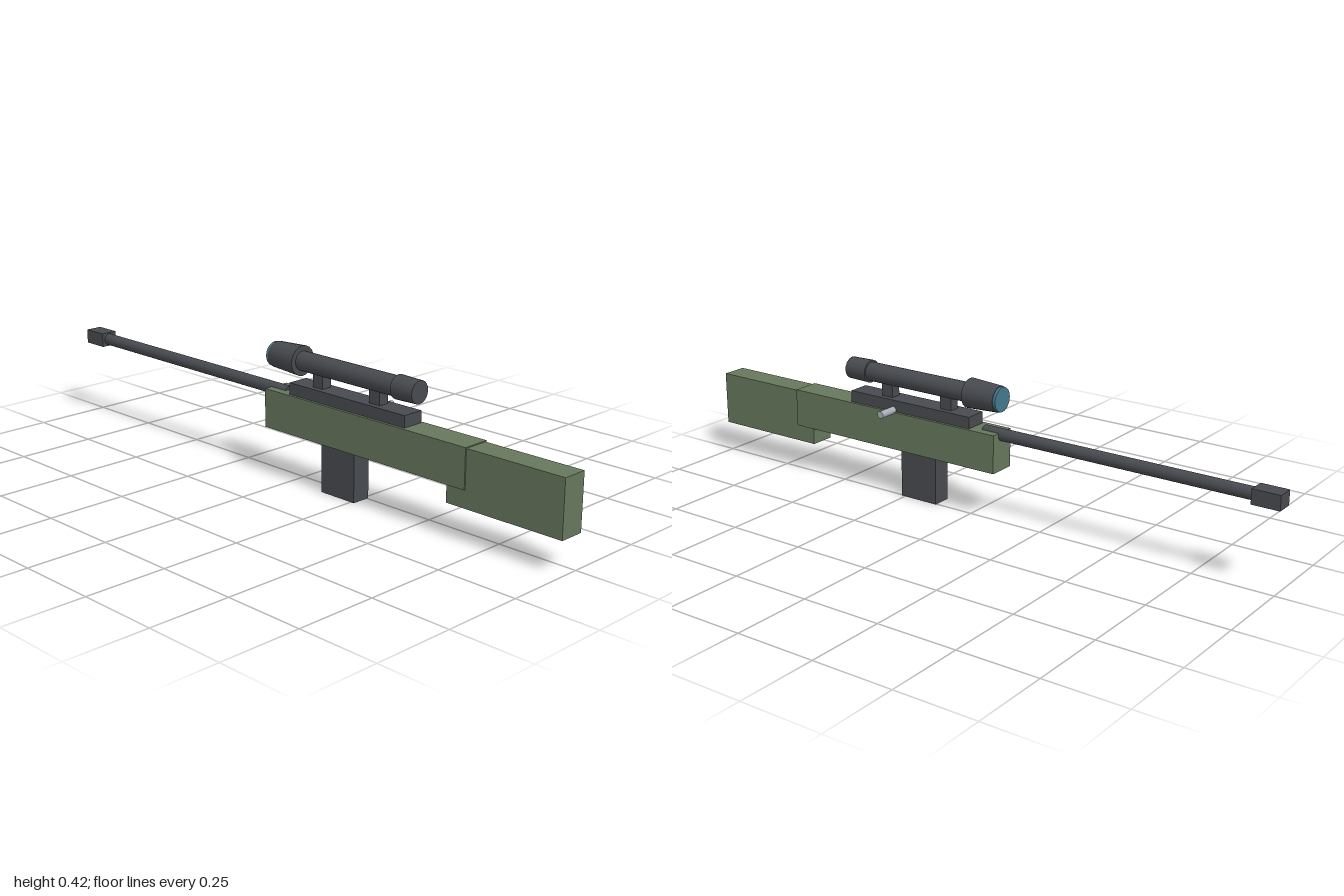
import * as THREE from 'three';

const CX = -0.026; // centre line of the rifle

const material = (name, color) => {
  const m = new THREE.MeshStandardMaterial({ color });
  m.name = name;
  return m;
};

export function createModel() {
  const group = new THREE.Group();
  group.name = 'rifle';
  const green = material('olive green', 0x66775c);
  const dark = material('dark gunmetal', 0x474a4f);
  const silver = material('silver steel', 0xa9adb5);
  const blue = material('lens blue', 0x44798c);

  const add = (name, geometry, mat) => {
    const mesh = new THREE.Mesh(geometry, mat);
    mesh.name = name;
    group.add(mesh);
    return mesh;
  };

  // Box on the centre line, given its width and its y and z ranges
  const block = (name, mat, width, y0, y1, z0, z1) =>
    add(name, new THREE.BoxGeometry(width, y1 - y0, z1 - z0), mat)
      .position.set(CX, (y0 + y1) / 2, (z0 + z1) / 2);

  // Round part along z, with a radius at each end (z0 is the muzzle side)
  const tube = (name, mat, y, z0, z1, r0, r1) => {
    const g = new THREE.CylinderGeometry(r1, r0, z1 - z0, 20).rotateX(Math.PI / 2);
    add(name, g, mat).position.set(CX, y, (z0 + z1) / 2);
  };

  // Stock, body and magazine
  block('stock', green, 0.08, 0.1, 0.27, 0.615, 1);
  block('body', green, 0.088, 0.153, 0.273, -0.095, 0.68);
  block('magazine', dark, 0.061, 0, 0.16, 0.13, 0.262);

  // Receiver rail and scope mounts
  block('receiver', dark, 0.07, 0.26, 0.309, 0, 0.455);
  for (const z of [0.1, 0.325]) block('scopeMount', dark, 0.034, 0.305, 0.355, z - 0.02, z + 0.02);

  // Barrel and muzzle
  tube('barrel', dark, 0.265, -0.93, -0.035, 0.019, 0.019);
  block('muzzle', dark, 0.054, 0.243, 0.288, -1, -0.915);

  // Scope
  tube('scopeTube', dark, 0.373, 0, 0.42, 0.03, 0.03);
  tube('scopeEyepiece', dark, 0.373, 0.4, 0.478, 0.036, 0.034);
  tube('scopeBell', dark, 0.373, -0.087, 0.021, 0.04, 0.046);
  tube('scopeLens', blue, 0.373, -0.096, -0.087, 0.038, 0.038);

  // Bolt handle on the left side
  add('boltHandle', new THREE.CylinderGeometry(0.0115, 0.0115, 0.072, 12).rotateZ(Math.PI / 2), silver)
    .position.set(0.036, 0.277, 0.288);

  return group;
}
